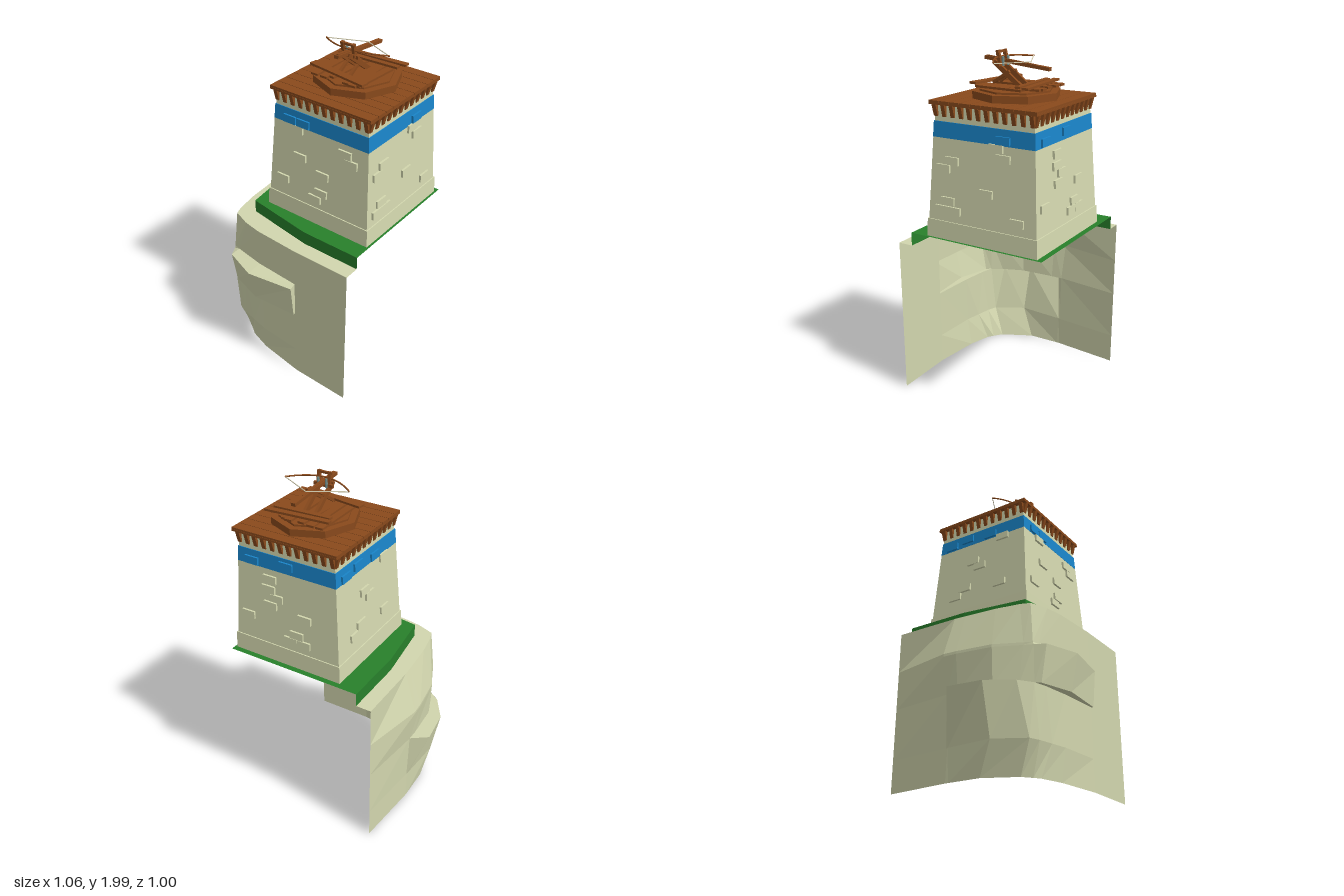
import * as THREE from 'three';

const mat = (name, color, extra = {}) => {
  const m = new THREE.MeshStandardMaterial({ color, flatShading: true, ...extra });
  m.name = name;
  return m;
};

export function createModel() {
  const root = new THREE.Group();
  root.name = 'cliffTower';
  const stone = mat('stone', 0xd5d9b0);
  const rock = mat('rock', 0xd2d6ae, { side: THREE.DoubleSide });
  const grass = mat('grass', 0x28802b, { side: THREE.DoubleSide });
  const blue = mat('bluePaint', 0x1a86cb);
  const wood = mat('wood', 0x8a4a1c);
  const cord = mat('cord', 0xd8d2b4);
  const metal = mat('metal', 0x74908c);

  const add = (name, geo, material, parent = root, pos = [0, 0, 0]) => {
    const m = new THREE.Mesh(geo, material);
    m.name = name;
    m.position.set(...pos);
    parent.add(m);
    return m;
  };
  // Straight bar between two points
  const beam = (name, a, b, w, h, parent, material = wood) => {
    const p = new THREE.Vector3(...a), q = new THREE.Vector3(...b);
    const m = add(name, new THREE.BoxGeometry(w, h, p.distanceTo(q)), material, parent);
    m.position.copy(p).add(q).multiplyScalar(0.5);
    m.lookAt(q);
    return m;
  };
  // Open sheet lofted through [height, plan points] rows, bottom to top
  const loft = rows => {
    const n = rows[0][1].length, pos = [], idx = [];
    rows.forEach(([y, pts], r) => pts.forEach(([x, z], c) => {
      pos.push(x, y, z);
      if (r && c) {
        const d = r * n + c, b = d - n;
        idx.push(b - 1, b, d, b - 1, d, d - 1);
      }
    }));
    const g = new THREE.BufferGeometry();
    g.setAttribute('position', new THREE.Float32BufferAttribute(pos, 3));
    g.setIndex(idx);
    g.computeVertexNormals();
    return g;
  };

  // Cliff shell with two jutting ledges
  const rings = [
    [0, [[-.425, -.11], [-.425, -.09], [-.42, .1], [-.33, .28], [-.28, .32], [-.245, .345], [-.11, .385], [.17, .42]]],
    [.18, [[-.425, -.11], [-.428, -.1], [-.445, .175], [-.35, .345], [-.29, .367], [-.2, .385], [-.1, .405], [.17, .42]]],
    [.47, [[-.435, -.11], [-.53, -.04], [-.505, .165], [-.41, .31], [-.33, .365], [-.25, .385], [-.09, .405], [.17, .42]]],
    [.468, [[-.435, -.11], [-.435, -.04], [-.42, .17], [-.37, .3], [-.33, .365], [-.31, .395], [-.11, .455], [.17, .435]]],
    [.675, [[-.465, -.12], [-.46, -.04], [-.43, .17], [-.36, .32], [-.34, .37], [-.31, .43], [-.11, .5], [.17, .455]]],
    [.69, [[-.465, -.12], [-.46, -.04], [-.43, .17], [-.36, .32], [-.34, .365], [-.3, .375], [-.11, .405], [.17, .42]]],
    [.926, [[-.39, -.11], [-.385, -.04], [-.37, .15], [-.345, .29], [-.325, .345], [-.22, .385], [-.11, .405], [.17, .42]]],
  ].map(([y, pts]) => [y, [[-.39, -.5], ...pts, [.17, .42], [.53, .42]]]);
  add('cliffWall', loft(rings), rock);

  // Rim between cliff edge and turf, then the turf: a top sheet and its outer edge only
  const turf = [[-.3, -.5], [-.3, -.12], [-.25, .265], [.17, .33], [.53, .33]];
  const sheet = pts => new THREE.ShapeGeometry(
    new THREE.Shape(pts.map(([x, z]) => new THREE.Vector2(x, -z)))).rotateX(-Math.PI / 2);
  const rimPts = rings[rings.length - 1][1].filter((p, i, all) => i !== all.length - 2);
  add('cliffRim', sheet([...rimPts, ...[...turf].reverse()]), rock, root, [0, .926, 0]);
  add('turfTop', sheet([...turf, [.53, -.5]]), grass, root, [0, 1.003, 0]);
  add('turfEdge', loft([[.926, turf], [1.003, turf]]), grass);

  // Tower, centred on its own axis
  const tower = new THREE.Group();
  tower.name = 'tower';
  tower.position.set(.17, 0, -.12);
  root.add(tower);
  const tier = (name, y0, y1, h0, h1, material) => add(name,
    new THREE.CylinderGeometry(h1 * Math.SQRT2, h0 * Math.SQRT2, y1 - y0, 4).rotateY(Math.PI / 4),
    material, tower, [0, (y0 + y1) / 2, 0]);
  tier('plinth', 1.004, 1.105, .348, .343, stone);
  tier('wall', 1.105, 1.556, .337, .311, stone);
  tier('paintedBand', 1.556, 1.641, .312, .307, blue);
  tier('parapet', 1.641, 1.73, .303, .3, stone);

  // Raised bricks [u, y] and roof brackets, for each of the four sides
  const slope = .057;
  const sides = [
    ['front', 0, [[-.2, 1.583], [-.11, 1.583], [-.15, 1.54], [.17, 1.5], [.21, 1.455], [-.125, 1.38], [.03, 1.32], [-.24, 1.21], [.025, 1.21], [-.015, 1.16]]],
    ['east', 1, [[.125, 1.583], [.085, 1.54], [.13, 1.49], [-.185, 1.44], [-.24, 1.395], [.03, 1.295], [-.21, 1.22], [-.25, 1.17], [-.17, 1.17], [.22, 1.17]]],
    ['back', 2, [[-.215, 1.583], [.005, 1.6], [-.1, 1.5], [-.11, 1.44], [-.06, 1.395], [-.1, 1.345], [-.25, 1.25], [.12, 1.32], [.07, 1.21], [.03, 1.165], [.115, 1.165]]],
    ['west', 3, [[-.22, 1.583], [-.1, 1.6], [.07, 1.583], [.16, 1.54], [0, 1.38], [-.05, 1.425], [-.1, 1.25], [-.17, 1.205], [.15, 1.22]]],
  ];
  for (const [name, turn, bricks] of sides) {
    const side = new THREE.Group();
    side.name = name + 'Side';
    side.rotation.y = turn * Math.PI / 2;
    tower.add(side);
    for (const [u, y] of bricks) {
      const b = add('brick', new THREE.BoxGeometry(.083, .043, .024), y > 1.56 ? blue : stone, side,
        [u, y, .337 - (y - 1.105) * slope]);
      b.rotation.x = -slope;
    }
    for (let i = 0; i < 12; i++) {
      const k = add('bracket', new THREE.BoxGeometry(.023, .064, .024), wood, side, [-.292 + i * .0531, 1.7, .304]);
      k.rotation.x = .25;
    }
  }

  // Plank roof
  add('deckBase', new THREE.BoxGeometry(.65, .01, .65), wood, tower, [0, 1.734, 0]);
  for (let i = 0; i < 10; i++)
    add('deckPlank', new THREE.BoxGeometry(.65, .014, .062), wood, tower, [0, 1.743, -.2925 + i * .065]);

  // Stepped octagonal platform
  add('platform', new THREE.CylinderGeometry(.24, .24, .04, 8), wood, root, [.17, 1.769, -.135]);
  add('platformTop', new THREE.CylinderGeometry(.2, .2, .01, 8), wood, root, [.17, 1.794, -.135]);

  // Loose boards: [x0, z0, x1, z1, y, width]
  [
    [.022, -.33, .025, .055, 1.809, .044], [.075, -.33, .085, .055, 1.809, .044],
    [.14, -.32, .115, .03, 1.809, .04], [.215, -.33, .225, .05, 1.809, .044],
    [.24, -.32, .265, .055, 1.809, .044], [.3, -.25, .285, .04, 1.809, .04],
    [-.01, -.275, .37, -.302, 1.83, .034], [.01, -.232, .35, -.248, 1.83, .03],
    [-.045, -.022, .335, .036, 1.83, .044],
  ].forEach(([x0, z0, x1, z1, y, w]) => beam('looseBoard', [x0, y, z0], [x1, y, z1], w, .012, root));

  // Bolt thrower
  const engine = new THREE.Group();
  engine.name = 'boltThrower';
  root.add(engine);
  beam('stock', [.17, 1.945, .06], [.17, 1.907, -.335], .027, .018, engine);
  beam('boltRail', [.17, 1.954, .05], [.17, 1.922, -.25], .012, .008, engine);
  for (const s of [-1, 1]) {
    const x = .17 + s * .034;
    beam('rearLeg', [x, 1.805, -.185], [x, 1.932, -.015], .017, .026, engine);
    beam('frontLeg', [x, 1.82, -.01], [x, 1.885, -.11], .015, .016, engine);
    beam('framePost', [x, 1.9, -.058], [x, 1.99, -.038], .017, .018, engine);
    add('torsionBundle', new THREE.CylinderGeometry(.007, .007, .05, 8), metal, engine, [.17 + s * .025, 1.933, -.065]);
    beam('bowString', [.17 + s * .2, 1.943, -.12], [.17, 1.937, -.22], .004, .004, engine, cord);
  }
  beam('topCrossbar', [.125, 1.982, -.04], [.215, 1.982, -.04], .014, .012, engine);
  beam('lowCrossbar', [.11, 1.918, -.055], [.23, 1.918, -.055], .016, .018, engine);
  beam('frontCrossbar', [.12, 1.928, -.035], [.22, 1.928, -.035], .014, .016, engine);
  const bow = new THREE.QuadraticBezierCurve3(new THREE.Vector3(-.032, 1.943, -.122),
    new THREE.Vector3(.17, 1.968, .04), new THREE.Vector3(.372, 1.943, -.122));
  add('bow', new THREE.TubeGeometry(bow, 16, .0045, 6), wood, engine);
  return root;
}
